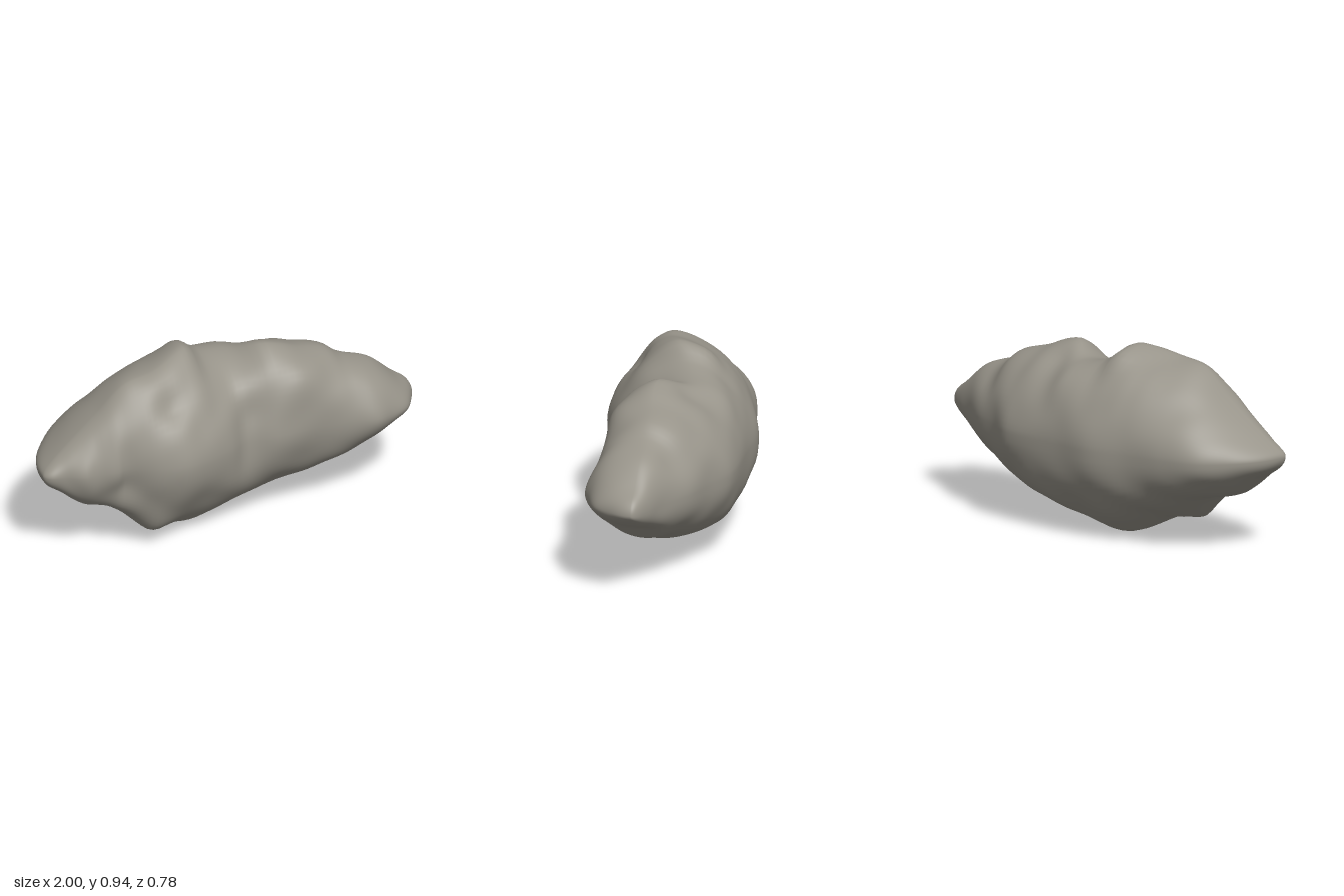
import * as THREE from 'three';

// Outline of the rock along its length, as [x, value] pairs
const TOP = [[-1, .47], [-.95, .53], [-.85, .61], [-.7, .73], [-.55, .86], [-.4, .89], [-.25, .935], [-.18, .94], [-.1, .875],
  [.07, .84], [.2, .89], [.3, .87], [.4, .83], [.55, .79], [.62, .74], [.78, .68], [.9, .58], [.97, .53], [1, .47]];
const BOTTOM = [[-1, .47], [-.97, .41], [-.9, .36], [-.77, .26], [-.65, .235], [-.47, .1], [-.38, .09], [-.18, 0], [0, .06],
  [.2, .1], [.4, .14], [.55, .21], [.67, .24], [.78, .33], [.9, .385], [.97, .43], [1, .47]];
const FRONT = [[-1, .16], [-.97, .2], [-.9, .22], [-.82, .26], [-.75, .26], [-.66, .3], [-.6, .29], [-.45, .36], [-.32, .385],
  [-.2, .355], [-.05, .295], [.05, .235], [.2, .27], [.45, .255], [.6, .265], [.72, .28], [.8, .25], [.91, .195], [.97, .1], [1, 0]];
const BACK = [[-1, .16], [-.97, 0], [-.9, -.12], [-.78, -.24], [-.6, -.3], [-.4, -.335], [-.2, -.39], [0, -.38], [.34, -.37],
  [.5, -.29], [.65, -.23], [.8, -.13], [.9, -.08], [.97, -.04], [1, 0]];
// Depth of the upper crest and of the lower keel
const CREST = [[-1, .16], [-.7, .1], [-.4, .08], [-.2, 0], [.05, -.09], [.22, .02], [.5, 0], [1, 0]];
const KEEL = [[-1, .16], [-.7, .12], [-.43, .16], [-.18, 0], [.1, -.05], [.5, 0], [1, 0]];

// Local knobs and hollows: [x, y, z, radius, height]
const FEATURES = [
  [-.2, .9, -.17, .09, .03],   // knob behind the peak
  [.03, .64, .17, .14, -.035], // valley between the two lobes
  [-.07, .78, .08, .12, -.035],
  [.3, .76, .19, .13, .05],    // shoulder of the left lobe
  [.45, .7, .18, .12, .02],
  [.2, .85, -.14, .09, -.025], // hollow behind the left lobe's crest
  [-.35, .77, .24, .09, -.025], // hollow above the right lobe
  [-.42, .84, .19, .08, .01],
  [-.43, .12, .21, .08, .025], // knob under the right lobe
  [.65, .64, -.12, .1, -.025], // hollows and knobs at the ends
  [.72, .6, .16, .1, .02],
  [-.6, .36, .27, .1, -.025],
  [-.75, .45, .24, .09, .012],
  [.4, .35, .22, .12, -.015],
];

// Smooth curve through the pairs; the knots are spaced by angle so the tips are round
function profile(pairs) {
  const k = pairs.map(([x, v]) => [Math.acos(-x), v]);
  const slope = i => {
    const a = k[Math.max(i - 1, 0)], b = k[Math.min(i + 1, k.length - 1)];
    return (b[1] - a[1]) / (b[0] - a[0]);
  };
  return u => {
    let i = 0;
    while (i < k.length - 2 && u > k[i + 1][0]) i++;
    const h = k[i + 1][0] - k[i][0], t = (u - k[i][0]) / h, t2 = t * t, t3 = t2 * t;
    return k[i][1] * (2 * t3 - 3 * t2 + 1) + k[i + 1][1] * (3 * t2 - 2 * t3)
      + h * (slope(i) * (t3 - 2 * t2 + t) + slope(i + 1) * (t3 - t2));
  };
}

// The exact outline on its own ridge (weight 1), fading to a softened one away from it
function softened(curve, u, weight) {
  const w = .13 * Math.sin(u);
  let sum = 0;
  for (let i = -2; i <= 2; i++) sum += curve(u + i * w);
  return THREE.MathUtils.lerp(sum / 5, curve(u), weight);
}

// Gentle irregularity over the skin
function lumps(x, y, z) {
  return .45 * Math.sin(9 * x + 5 * y + 1) * Math.sin(8 * z - 6 * y + 2)
    + .35 * Math.sin(15 * y - 7 * x) * Math.cos(13 * x + 9 * z)
    + .2 * Math.sin(23 * x + 11 * z) * Math.sin(21 * y + 1.5);
}

function featureHeight(x, y, z) {
  return FEATURES.reduce((sum, [fx, fy, fz, r, h]) =>
    sum + h * Math.exp(-((x - fx) ** 2 + (y - fy) ** 2 + (z - fz) ** 2) / (r * r)), 0);
}

// Fullness of each quarter of the section; lower is boxier
function quarterPower(c, s) {
  if (c > 0) return s > 0 ? 1.1 : 1.02;
  return s > 0 ? 1.08 : .86;
}

function rockGeometry(rings = 110, sides = 72) {
  const [top, bottom, front, back, crest, keel] = [TOP, BOTTOM, FRONT, BACK, CREST, KEEL].map(profile);
  const mid = .47;
  const positions = [-1, mid, .16], index = [];
  for (let i = 1; i < rings; i++) {
    const u = Math.PI * i / rings, x = -Math.cos(u);
    for (let j = 0; j < sides; j++) {
      const a = 2 * Math.PI * j / sides, c = Math.cos(a), s = Math.sin(a);
      const f = softened(front, u, c ** 6), b = softened(back, u, c ** 6);
      // Four rounded quarters meet at the crest, front, keel and back
      const ridge = s > 0 ? crest(u) : keel(u);
      const centre = THREE.MathUtils.clamp(ridge, b + .2 * (f - b), f - .2 * (f - b));
      const height = softened(s > 0 ? top : bottom, u, s ** 6) - mid;
      const power = quarterPower(c, s);
      let y = mid + Math.abs(s) ** power * height;
      let z = centre + Math.abs(c) ** power * ((c > 0 ? f : b) - centre);
      const offset = featureHeight(x, y, z) + .018 * lumps(x, y, z) * Math.sin(2 * a) ** 2 * Math.sin(u);
      y += s * offset;
      z += c * offset;
      positions.push(x, y, z);
    }
  }
  positions.push(1, mid, 0);
  const last = 1 + (rings - 1) * sides;
  for (let j = 0; j < sides; j++) {
    const n = (j + 1) % sides;
    index.push(0, 1 + j, 1 + n);
    for (let i = 0; i < rings - 2; i++) {
      const p = 1 + i * sides, q = p + sides;
      index.push(p + j, q + j, q + n, p + j, q + n, p + n);
    }
    index.push(last - sides + j, last, last - sides + n);
  }
  const geometry = new THREE.BufferGeometry();
  geometry.setAttribute('position', new THREE.Float32BufferAttribute(positions, 3));
  geometry.setIndex(index);
  geometry.computeVertexNormals();
  return geometry;
}

export function createModel() {
  const group = new THREE.Group();
  group.name = 'asteroid';
  const rock = new THREE.Mesh(rockGeometry(), new THREE.MeshStandardMaterial({ color: 0x98948a }));
  rock.name = 'rock';
  group.add(rock);
  return group;
}
